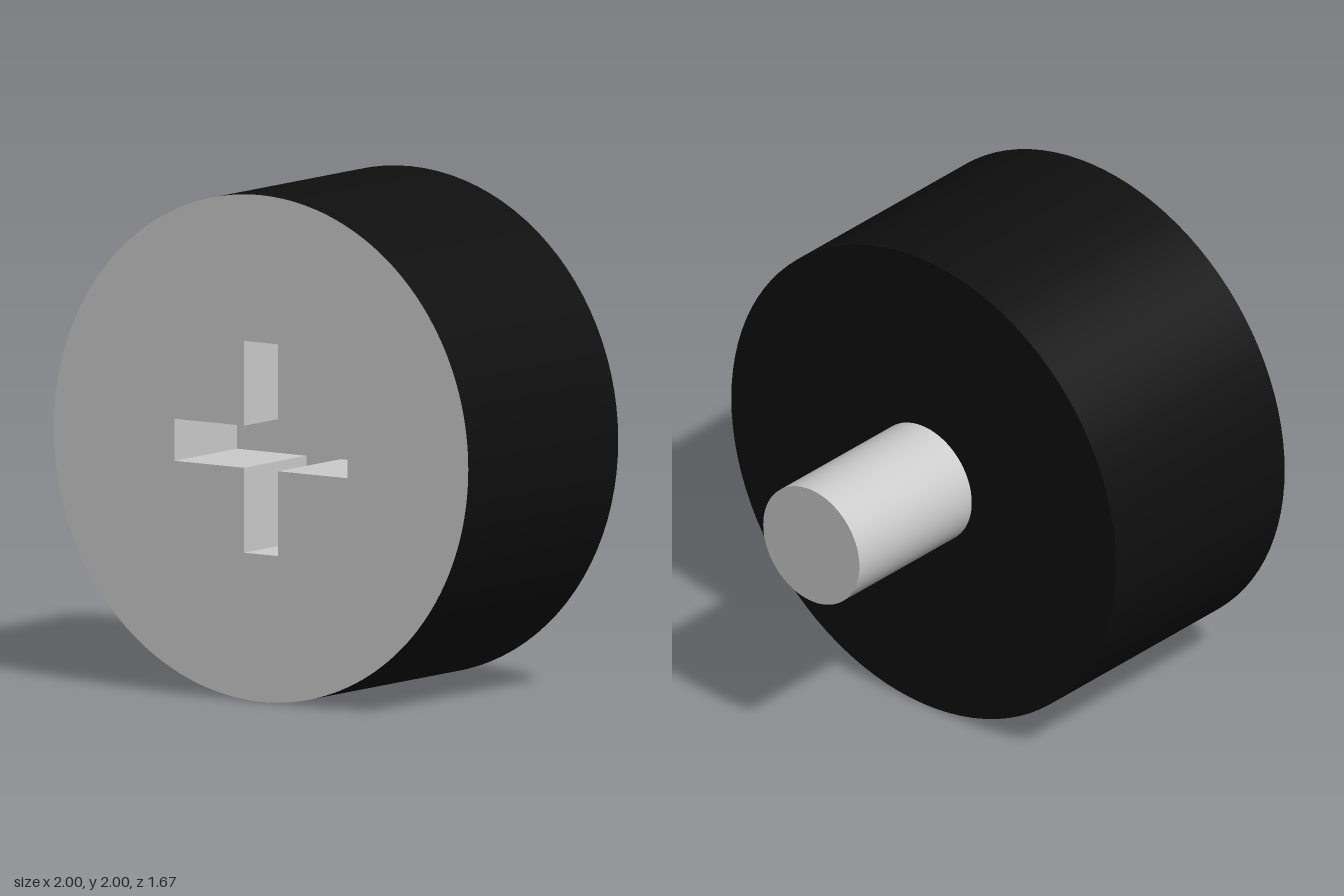
import * as THREE from 'three';
import { mergeGeometries } from 'three/addons/utils/BufferGeometryUtils.js';

const RADIUS = 1, FRONT = 0.833, BACK = -0.167, END = -0.833;
const SHAFT = 0.25, ARM = 0.418, HALF = 0.083, DEPTH = 0.417;
const SEGMENTS = 96;

export function createModel() {
  const model = new THREE.Group();
  const grey = new THREE.MeshStandardMaterial({ color: 0xcccccc });
  const black = new THREE.MeshStandardMaterial({ color: 0x0f0f0f });

  const add = (name, geometry, material) => {
    const mesh = new THREE.Mesh(geometry, material);
    mesh.name = name;
    mesh.position.y = RADIUS;
    model.add(mesh);
  };

  // Cross outline, counter-clockwise: three corners per arm, turned four times
  const cross = [];
  for (let i = 0; i < 4; i++) {
    for (const [x, y] of [[ARM, -HALF], [ARM, HALF], [HALF, HALF]]) {
      cross.push(new THREE.Vector2(x, y).rotateAround(new THREE.Vector2(), i * Math.PI / 2));
    }
  }

  // Head: black rim and back, grey front with a cross-shaped opening
  const rim = new THREE.CylinderGeometry(RADIUS, RADIUS, FRONT - BACK, SEGMENTS, 1, true)
    .rotateX(Math.PI / 2).translate(0, 0, (FRONT + BACK) / 2);
  add('headRim', rim, black);

  const back = new THREE.RingGeometry(SHAFT, RADIUS, SEGMENTS)
    .rotateY(Math.PI).translate(0, 0, BACK);
  add('headBack', back, black);

  const disc = new THREE.Shape().absarc(0, 0, RADIUS, 0, Math.PI * 2);
  disc.holes.push(new THREE.Path(cross));
  add('headFront', new THREE.ShapeGeometry(disc, SEGMENTS).translate(0, 0, FRONT), grey);

  // Recess: one inward-facing wall per outline edge, and a flat floor
  const walls = cross.map((a, i) => {
    const b = cross[(i + 1) % cross.length];
    return new THREE.PlaneGeometry(a.distanceTo(b), DEPTH)
      .rotateX(-Math.PI / 2)
      .rotateZ(Math.atan2(b.y - a.y, b.x - a.x))
      .translate((a.x + b.x) / 2, (a.y + b.y) / 2, FRONT - DEPTH / 2);
  });
  add('recessWalls', mergeGeometries(walls), grey);
  add('recessFloor', new THREE.ShapeGeometry(new THREE.Shape(cross))
    .translate(0, 0, FRONT - DEPTH), grey);

  // Shaft behind the head
  const shaft = new THREE.CylinderGeometry(SHAFT, SHAFT, BACK - END, SEGMENTS)
    .rotateX(Math.PI / 2).translate(0, 0, (BACK + END) / 2);
  add('shaft', shaft, grey);

  return model;
}
